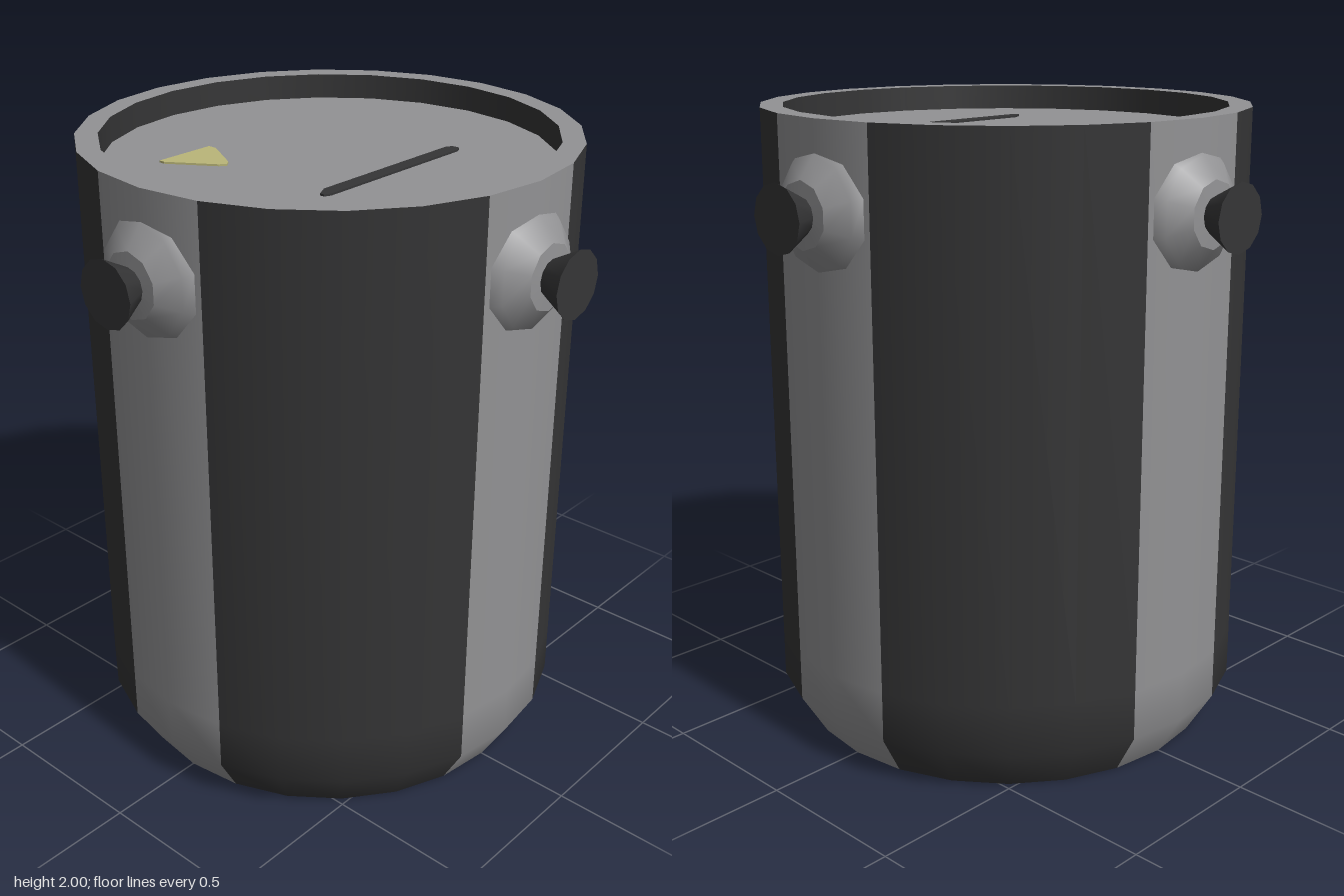
import * as THREE from 'three';

const material = (name, color) => {
  const m = new THREE.MeshStandardMaterial({ color });
  m.name = name;
  return m;
};

export function createModel() {
  const light = material('light grey', 0x929294);
  const dark = material('dark grey', 0x353536);
  const yellow = material('pale yellow', 0xbab679);
  const model = new THREE.Group();
  model.name = 'canister';

  const add = (parent, name, geometry, mat) => {
    const mesh = new THREE.Mesh(geometry, mat);
    mesh.name = name;
    parent.add(mesh);
    return mesh;
  };
  const lathe = (profile, segments, start = 0, length = Math.PI * 2) =>
    new THREE.LatheGeometry(profile.map(([r, y]) => new THREE.Vector2(r, y)), segments, start, length);

  // Striped side wall with a chamfered foot: 24 sides, one narrow and one wide stripe per quarter
  const step = Math.PI / 12;
  const wall = [[0.68, 0], [0.765, 0.14], [0.765, 0.3], [0.765, 2]];
  for (let i = 0; i < 4; i++) {
    const a = i * Math.PI / 2;
    add(model, 'lightStripe', lathe(wall, 2, a - step, 2 * step), light);
    add(model, 'darkStripe', lathe(wall, 4, a + step, 4 * step), dark);
  }

  // Rims, recess walls and sunken end plates
  const depth = 0.08, topR = 0.695, bottomR = 0.62;
  add(model, 'topRim', lathe([[0.765, 2], [topR, 2]], 24), light);
  add(model, 'topRecessWall', lathe([[topR, 2], [topR, 2 - depth]], 24), dark);
  add(model, 'topPlate', lathe([[topR, 2 - depth], [0, 2 - depth]], 24), light);
  add(model, 'bottomRim', lathe([[bottomR, 0], [0.68, 0]], 24), light);
  add(model, 'bottomRecessWall', lathe([[bottomR, depth], [bottomR, 0]], 24), dark);
  add(model, 'bottomPlate', lathe([[0, depth], [bottomR, depth]], 24), light);

  // Painted slot and arrow on both end plates, drawn as x and z outlines
  const thin = 0.006;
  const mark = (points) => new THREE.ExtrudeGeometry(
    new THREE.Shape(points.map(([x, z]) => new THREE.Vector2(x, z))),
    { depth: thin, bevelEnabled: false }
  ).rotateX(Math.PI / 2);
  const slot = mark([[0.218, -0.29], [0.23, -0.31], [0.255, -0.31], [0.264, -0.29],
    [0.264, 0.29], [0.255, 0.31], [0.24, 0.31], [0.218, 0.27]]);
  const arrow = mark([[-0.33, 0.19], [-0.3, 0.19], [-0.17, 0.265], [-0.155, 0.285],
    [-0.17, 0.305], [-0.31, 0.395], [-0.33, 0.395]]);
  for (const [end, y] of [['top', 2 - depth + thin], ['bottom', depth]]) {
    add(model, end + 'Slot', slot, dark).position.y = y;
    add(model, end + 'Arrow', arrow, yellow).position.y = y;
  }

  // Four flared knobs on domed bosses
  const boss = lathe([[0.2, 0.715], [0.188, 0.74], [0.165, 0.77], [0.1, 0.818]], 10).rotateX(Math.PI / 2);
  const bossFace = lathe([[0.1, 0.818], [0, 0.824]], 10).rotateX(Math.PI / 2);
  const knob = new THREE.CylinderGeometry(0.102, 0.052, 0.09, 12).rotateX(Math.PI / 2).translate(0, 0, 0.86);
  for (let i = 0; i < 4; i++) {
    const fitting = new THREE.Group();
    fitting.name = 'sideKnob';
    add(fitting, 'boss', boss, light);
    add(fitting, 'bossFace', bossFace, light);
    add(fitting, 'knob', knob, dark);
    fitting.position.y = 1.735;
    fitting.rotation.y = i * Math.PI / 2;
    model.add(fitting);
  }
  return model;
}
